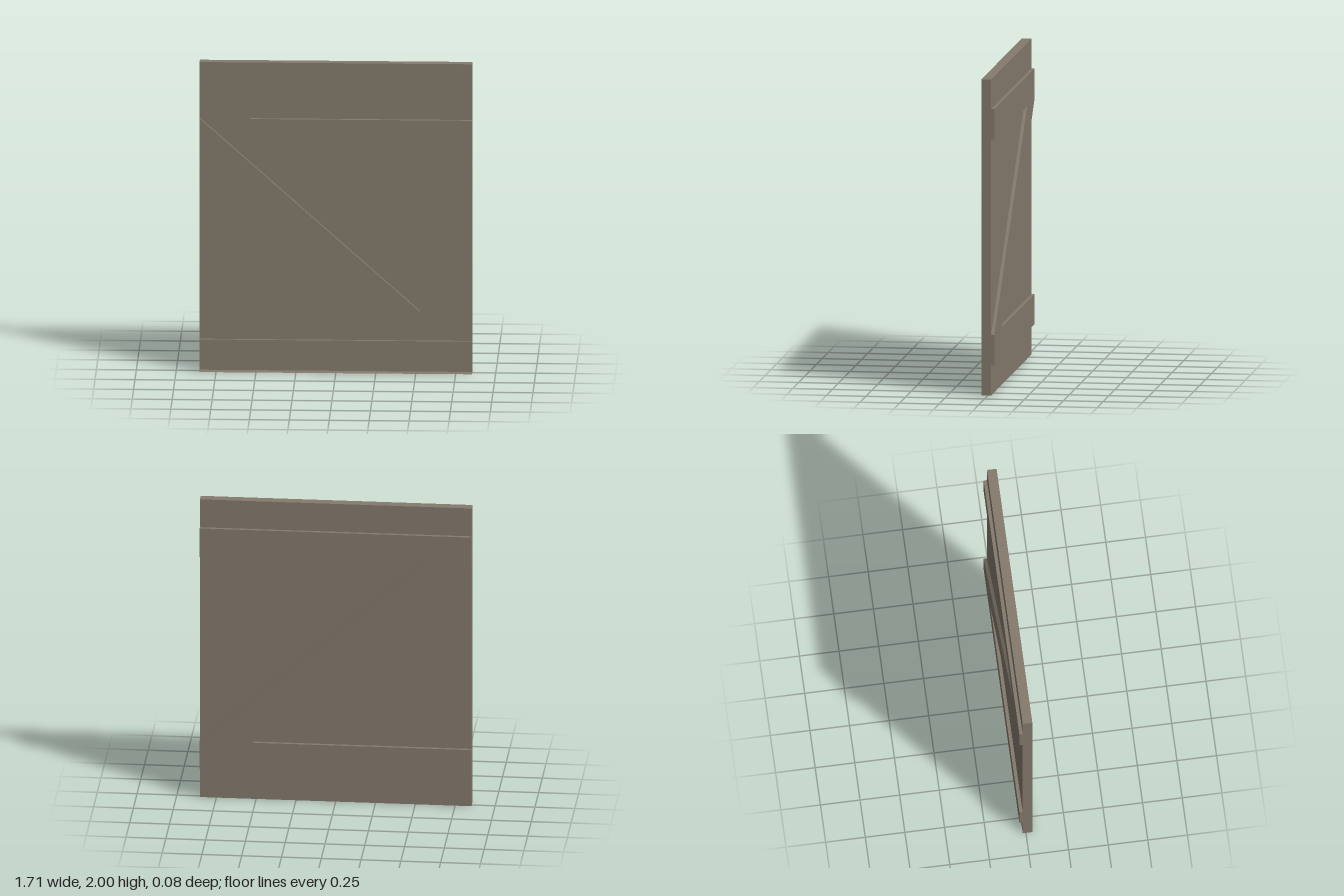
import * as THREE from 'three';

const W = 0.853, H = 2;
const FRONT = 0.041, PANEL = -0.02, BRACE = -0.041;

// Flat sheet facing -z at depth z
function sheet(points, z) {
  const shape = new THREE.Shape(points.map(([x, y]) => new THREE.Vector2(-x, y)));
  return new THREE.ShapeGeometry(shape).rotateY(Math.PI).translate(0, 0, z);
}

// Walls around a clockwise outline, from depth z0 (back) to z1 (front), facing outwards
function rim(points, z0, z1) {
  const pos = [];
  points.forEach(([ax, ay], i) => {
    const [bx, by] = points[(i + 1) % points.length];
    pos.push(ax, ay, z0, ax, ay, z1, bx, by, z1, ax, ay, z0, bx, by, z1, bx, by, z0);
  });
  const g = new THREE.BufferGeometry();
  g.setAttribute('position', new THREE.Float32BufferAttribute(pos, 3));
  g.computeVertexNormals();
  return g;
}

export function createModel() {
  const group = new THREE.Group();
  const wood = new THREE.MeshStandardMaterial({ color: 0x857b6d, side: THREE.DoubleSide });
  wood.name = 'weathered wood';
  const add = (name, geometry) => {
    const mesh = new THREE.Mesh(geometry, wood);
    mesh.name = name;
    group.add(mesh);
  };

  // Heights of the two rails and inner corners of the diagonal
  const y0 = 0.195, y1 = 0.385, y2 = 1.62, y3 = 1.813;
  const upper = [-0.54, y2], lower = [0.525, y1];

  // Door edges; the shell is open at the front
  add('doorEdges', rim([[-W, 0], [-W, H], [W, H], [W, 0]], PANEL, FRONT));

  // Back panel areas around the brace
  add('panelTop', sheet([[-W, y3], [W, y3], [W, H], [-W, H]], PANEL));
  add('panelBottom', sheet([[-W, 0], [W, 0], [W, y0], [-W, y0]], PANEL));
  add('panelRightTriangle', sheet([[-W, y1], lower, [-W, y2]], PANEL));
  add('panelLeftTriangle', sheet([[W, y1], [W, y2], upper], PANEL));

  // Raised brace: two rails joined by a diagonal, hollow behind
  const brace = [
    [-W, y3], [W, y3], [W, y2], upper, [W, y1],
    [W, y0], [-W, y0], [-W, y1], lower, [-W, y2],
  ];
  add('braceFace', sheet(brace, BRACE));
  add('braceEdges', rim(brace, BRACE, PANEL));

  return group;
}
